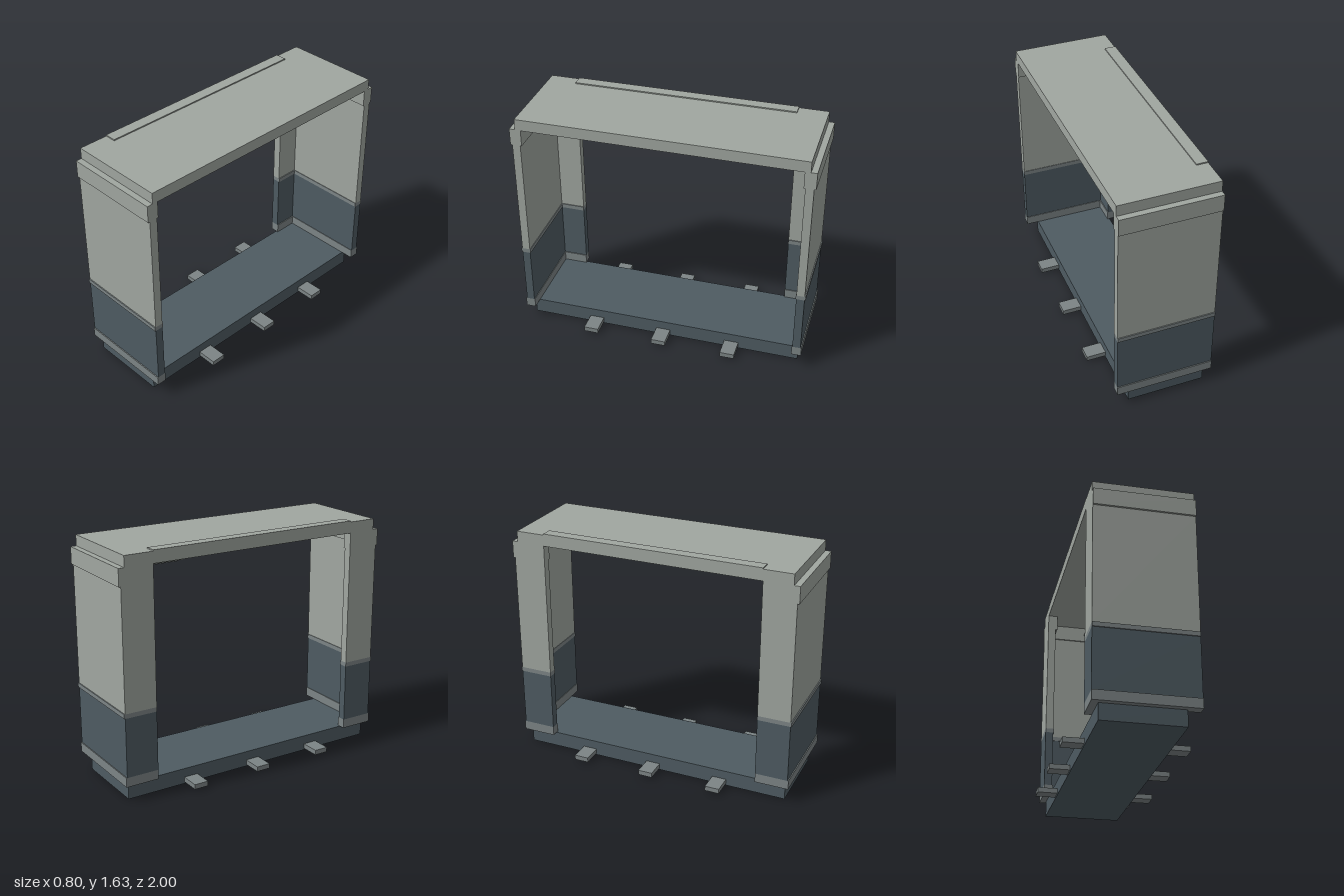
import * as THREE from 'three';

export function createModel() {
  const model = new THREE.Group();
  model.name = 'corridorFrame';
  const mat = (name, color) => {
    const m = new THREE.MeshStandardMaterial({ color });
    m.name = name;
    return m;
  };
  const light = mat('lightPanelGrey', 0xa0a6a0);
  const trim = mat('trimGrey', 0x7c8485);
  const dark = mat('darkSlate', 0x4e5b62);
  const black = mat('rodDark', 0x3c4244);

  // Box given by its extents on each axis
  const box = (name, material, [x0, x1], [y0, y1], [z0, z1], parent = model) => {
    const mesh = new THREE.Mesh(new THREE.BoxGeometry(x1 - x0, y1 - y0, z1 - z0), material);
    mesh.position.set((x0 + x1) / 2, (y0 + y1) / 2, (z0 + z1) / 2);
    mesh.name = name;
    parent.add(mesh);
  };
  const L = -0.312, R = 0.355;

  // Floor slab with mounting tabs on both sides
  box('floor', dark, [-0.267, 0.267], [0, 0.108], [-0.96, 0.96]);
  for (const z of [-0.493, 0, 0.493]) {
    box('rightTab', trim, [-0.402, -0.267], [0.012, 0.046], [z - 0.05, z + 0.05]);
    box('leftTab', trim, [0.267, 0.402], [0.012, 0.046], [z - 0.05, z + 0.05]);
  }

  // Roof slab with a thin strip along one edge
  box('roof', light, [L, R], [1.543, 1.62], [-0.96, 0.96]);
  box('roofStrip', light, [L, -0.234], [1.62, 1.628], [-0.76, 0.76]);

  // Stacked bands of each end wall: name, material, y range, inner z, outer z, return thickness
  const bands = [
    ['BaseTrim', trim, [0.11, 0.175], 0.928, 0.994, 0.062],
    ['LowerPanel', dark, [0.175, 0.58], 0.932, 0.987, 0.056],
    ['MiddleTrim', trim, [0.58, 0.61], 0.928, 0.994, 0.062],
    ['UpperPanel', light, [0.61, 1.43], 0.932, 0.987, 0.056],
    ['Header', light, [1.43, 1.546], 0.922, 1, 0.068],
  ];
  for (const [end, s] of [['front', 1], ['back', -1]]) {
    const wall = new THREE.Group();
    wall.name = end + 'Wall';
    const span = (a, b) => (s > 0 ? [a, b] : [-b, -a]);
    for (const [name, m, y, inner, outer, t] of bands) {
      box(end + name, m, [L, R], y, span(inner, outer), wall);
      // Short return wall on the right side; its header stops under the roof
      const ry = [y[0], Math.min(y[1], 1.543)];
      box(end + 'Return' + name, m, [L, L + t], ry, span(0.762, inner), wall);
    }
    model.add(wall);
  }

  // Lamp on a twin-rod arm from the back wall
  const lamp = new THREE.Group();
  lamp.name = 'lamp';
  box('lampBody', light, [-0.03, 0.075], [1.457, 1.51], [-0.685, -0.39], lamp);
  box('lampLens', trim, [-0.015, 0.06], [1.448, 1.457], [-0.657, -0.42], lamp);
  for (const x of [0.005, 0.04]) {
    box('lampRod', black, [x - 0.008, x + 0.008], [1.477, 1.493], [-0.925, -0.685], lamp);
  }
  model.add(lamp);
  return model;
}
